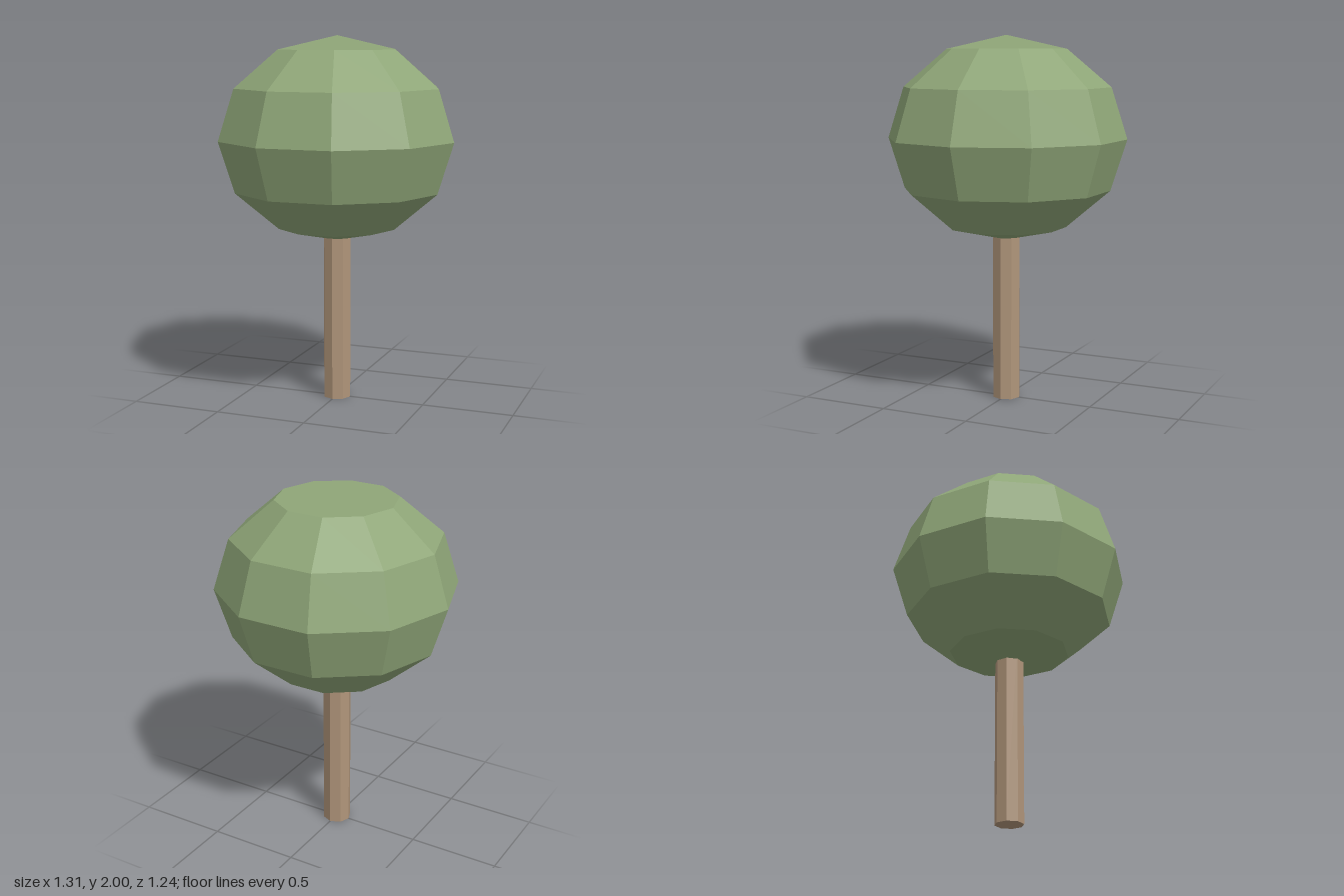
import * as THREE from 'three';

const RADIUS = 0.654, HALF_HEIGHT = 0.556, CENTRE_Y = 1.444;

// Faceted, slightly squashed ball whose shallow end caps shade as single faces
function crownGeometry() {
  const geometry = new THREE.SphereGeometry(1, 10, 6)
    .scale(RADIUS, HALF_HEIGHT, RADIUS)
    .toNonIndexed();
  geometry.computeVertexNormals();
  const { position, normal } = geometry.attributes;
  const capStart = HALF_HEIGHT * Math.cos(Math.PI / 6) - 0.001;
  for (let i = 0; i < position.count; i += 3) {
    const ys = [0, 1, 2].map((k) => position.getY(i + k));
    const side = Math.sign(ys[0]);
    if (ys.every((y) => y * side > capStart)) {
      for (let k = 0; k < 3; k++) normal.setXYZ(i + k, 0, side, 0);
    }
  }
  return geometry;
}

export function createModel() {
  const tree = new THREE.Group();
  tree.name = 'tree';

  // Eight-sided trunk, its top sunk into the crown
  const trunkHeight = 1.0;
  const trunk = new THREE.Mesh(
    new THREE.CylinderGeometry(0.078, 0.078, trunkHeight, 8),
    new THREE.MeshStandardMaterial({ color: 0xb0957a, flatShading: true })
  );
  trunk.name = 'trunk';
  trunk.position.y = trunkHeight / 2;

  // Round leafy crown
  const crown = new THREE.Mesh(
    crownGeometry(),
    new THREE.MeshStandardMaterial({ color: 0x8fa678 })
  );
  crown.name = 'crown';
  crown.position.y = CENTRE_Y;

  tree.add(trunk, crown);
  return tree;
}
